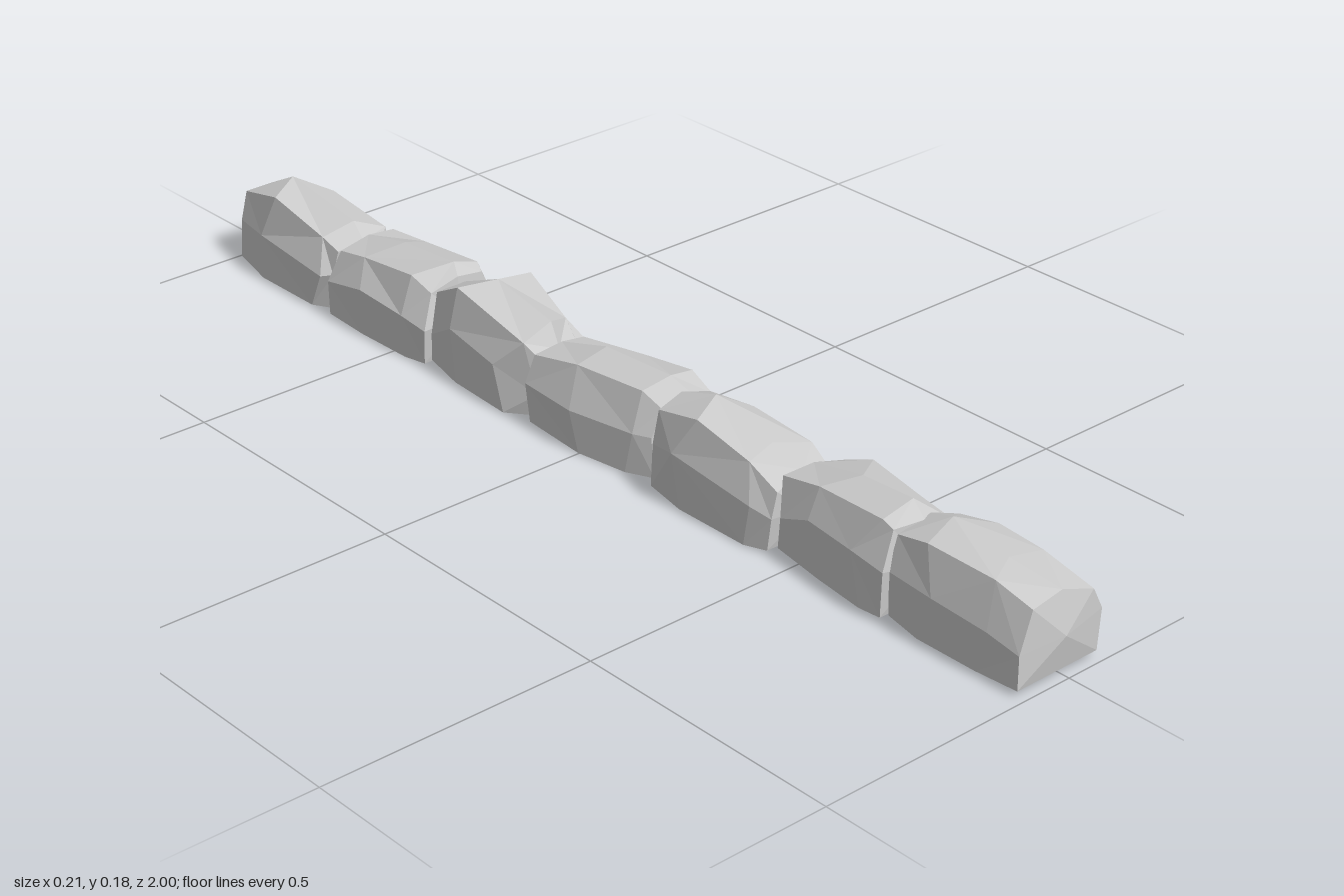
import * as THREE from 'three';

// Cross-section of a stone, as fractions of its width and height (anticlockwise)
const PROFILE = [[0.02, 0], [0.97, 0], [1, 0.52], [0.84, 0.87], [0.5, 1], [0.13, 0.93], [0, 0.52]];

// Each stone: stations from front to back as [z, top, xMin, xMax]
const STONES = [
  [[0.985, 0.147, -0.1, 0.082], [0.9, 0.163, -0.1, 0.08], [0.78, 0.172, -0.1, 0.085], [0.712, 0.155, -0.09, 0.085]],
  [[0.708, 0.155, -0.105, 0.067], [0.66, 0.173, -0.103, 0.075], [0.56, 0.165, -0.09, 0.085], [0.455, 0.135, -0.077, 0.1]],
  [[0.445, 0.12, -0.09, 0.075], [0.4, 0.143, -0.1, 0.08], [0.25, 0.172, -0.1, 0.083], [0.168, 0.152, -0.088, 0.075]],
  [[0.155, 0.142, -0.068, 0.095], [0.1, 0.165, -0.085, 0.09], [0, 0.16, -0.1, 0.077], [-0.13, 0.133, -0.095, 0.063]],
  [[-0.138, 0.115, -0.075, 0.045], [-0.19, 0.157, -0.105, 0.07], [-0.33, 0.178, -0.097, 0.103], [-0.415, 0.135, -0.08, 0.093]],
  [[-0.418, 0.152, -0.094, 0.073], [-0.47, 0.168, -0.098, 0.083], [-0.59, 0.157, -0.1, 0.085], [-0.685, 0.137, -0.1, 0.085]],
  [[-0.695, 0.125, -0.085, 0.065], [-0.74, 0.152, -0.1, 0.08], [-0.89, 0.172, -0.1, 0.083], [-0.985, 0.138, -0.08, 0.072]],
];

// Small repeatable variation in -1..1
const wobble = (n) => Math.sin(n * 12.9898 + Math.sin(n * 4.1) * 7);

function stoneGeometry(stations, seed) {
  const last = stations.length - 1;
  const base = 0.004 + 0.003 * wobble(seed);
  const rings = stations.map(([z, top, x0, x1], i) => PROFILE.map(([u, v], j) => {
    const k = seed * 53 + i * 9 + j;
    const bottom = v === 0;
    const inner = i > 0 && i < last;
    // inner rings are staggered along the length so the facets look chipped
    const dz = bottom ? 0 : wobble(k) * (inner ? 0.03 : 0.008);
    const dy = bottom ? (inner ? 0 : 0.005) : j === 4 ? 0 : wobble(k + 0.4) * 0.01;
    const dx = bottom ? 0 : wobble(k + 0.7) * 0.006;
    const x = Math.min(x1, Math.max(x0, x0 + u * (x1 - x0) + dx));
    return [x, base + dy + v * (top - base), z + dz];
  }));

  const pos = [];
  const tri = (...corners) => corners.forEach((c) => pos.push(...c));
  const n = PROFILE.length;
  // slightly domed ends
  const capCentre = (s, out) => [(s[2] + s[3]) / 2, s[1] * 0.52, s[0] + out];
  const front = capCentre(stations[0], 0.012);
  const back = capCentre(stations[last], -0.013);
  for (let j = 0; j < n; j++) {
    const m = (j + 1) % n;
    for (let i = 0; i < last; i++) {
      const a = rings[i][j], b = rings[i][m], c = rings[i + 1][m], d = rings[i + 1][j];
      if ((i + j + seed) % 2) { tri(a, d, c); tri(a, c, b); }
      else { tri(a, d, b); tri(b, d, c); }
    }
    tri(front, rings[0][j], rings[0][m]);
    tri(back, rings[last][m], rings[last][j]);
  }
  const geometry = new THREE.BufferGeometry();
  geometry.setAttribute('position', new THREE.Float32BufferAttribute(pos, 3));
  geometry.computeVertexNormals();
  return geometry;
}

export function createModel() {
  const group = new THREE.Group();
  group.name = 'stoneRow';
  const material = new THREE.MeshStandardMaterial({ color: 0xcccccc, flatShading: true });
  // Seven rough-hewn stones laid end to end
  STONES.forEach((stations, i) => {
    const stone = new THREE.Mesh(stoneGeometry(stations, i + 1), material);
    stone.name = `stone${i + 1}`;
    group.add(stone);
  });
  // Rest the row on the ground
  group.updateMatrixWorld(true);
  const lowest = new THREE.Box3().setFromObject(group).min.y;
  group.children.forEach((stone) => { stone.position.y -= lowest; });
  return group;
}
